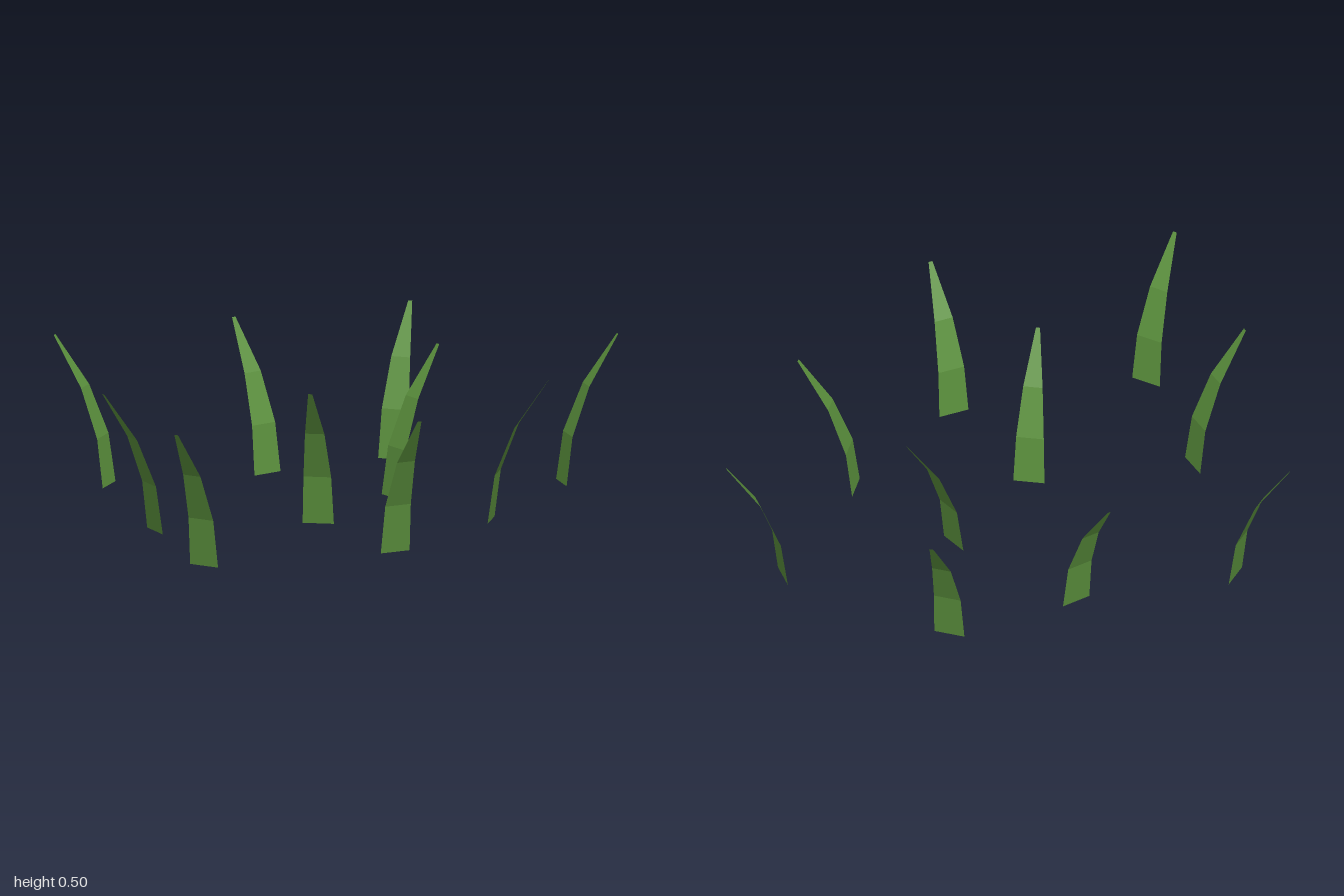
import * as THREE from 'three';

// Blade cross-sections: height, outward bend, half width
const SECTIONS = [
  [0, 0, 0.053],
  [0.167, 0.023, 0.047],
  [0.333, 0.088, 0.033],
  [0.5, 0.2, 0.007],
];

// Each blade: base centre x, z and tip x, z
const BLADES = [
  [-0.395, -0.655, -0.485, -0.83],
  [0.113, -0.438, 0.128, -0.635],
  [0.56, -0.32, 0.727, -0.435],
  [-0.658, -0.083, -0.856, -0.115],
  [0.24, 0.068, 0.44, 0.068],
  [-0.168, 0.182, -0.312, 0.318],
  [-0.818, 0.378, -0.998, 0.455],
  [0.805, 0.275, 0.998, 0.343],
  [0.31, 0.513, 0.432, 0.668],
  [-0.203, 0.637, -0.253, 0.828],
];

// One curved blade bending towards +z, as a strip of flat faces
function bladeGeometry() {
  const positions = [];
  const index = [];
  SECTIONS.forEach(([y, z, w], i) => {
    positions.push(-w, y, z, w, y, z);
    if (i > 0) {
      const a = (i - 1) * 2;
      index.push(a, a + 1, a + 3, a, a + 3, a + 2);
    }
  });
  const indexed = new THREE.BufferGeometry();
  indexed.setAttribute('position', new THREE.Float32BufferAttribute(positions, 3));
  indexed.setIndex(index);
  const geometry = indexed.toNonIndexed();
  geometry.computeVertexNormals();
  return geometry;
}

export function createModel() {
  const group = new THREE.Group();
  group.name = 'grassTuft';
  const grassGreen = new THREE.MeshStandardMaterial({
    color: 0x5a8f3c, flatShading: true, side: THREE.DoubleSide,
  });
  grassGreen.name = 'grass green';

  // Scatter the blades, each turned so it bends towards its tip
  const geometry = bladeGeometry();
  BLADES.forEach(([x, z, tipX, tipZ], i) => {
    const blade = new THREE.Mesh(geometry, grassGreen);
    blade.name = `grassBlade${i + 1}`;
    blade.position.set(x, 0, z);
    blade.rotation.y = Math.atan2(tipX - x, tipZ - z);
    group.add(blade);
  });
  return group;
}
